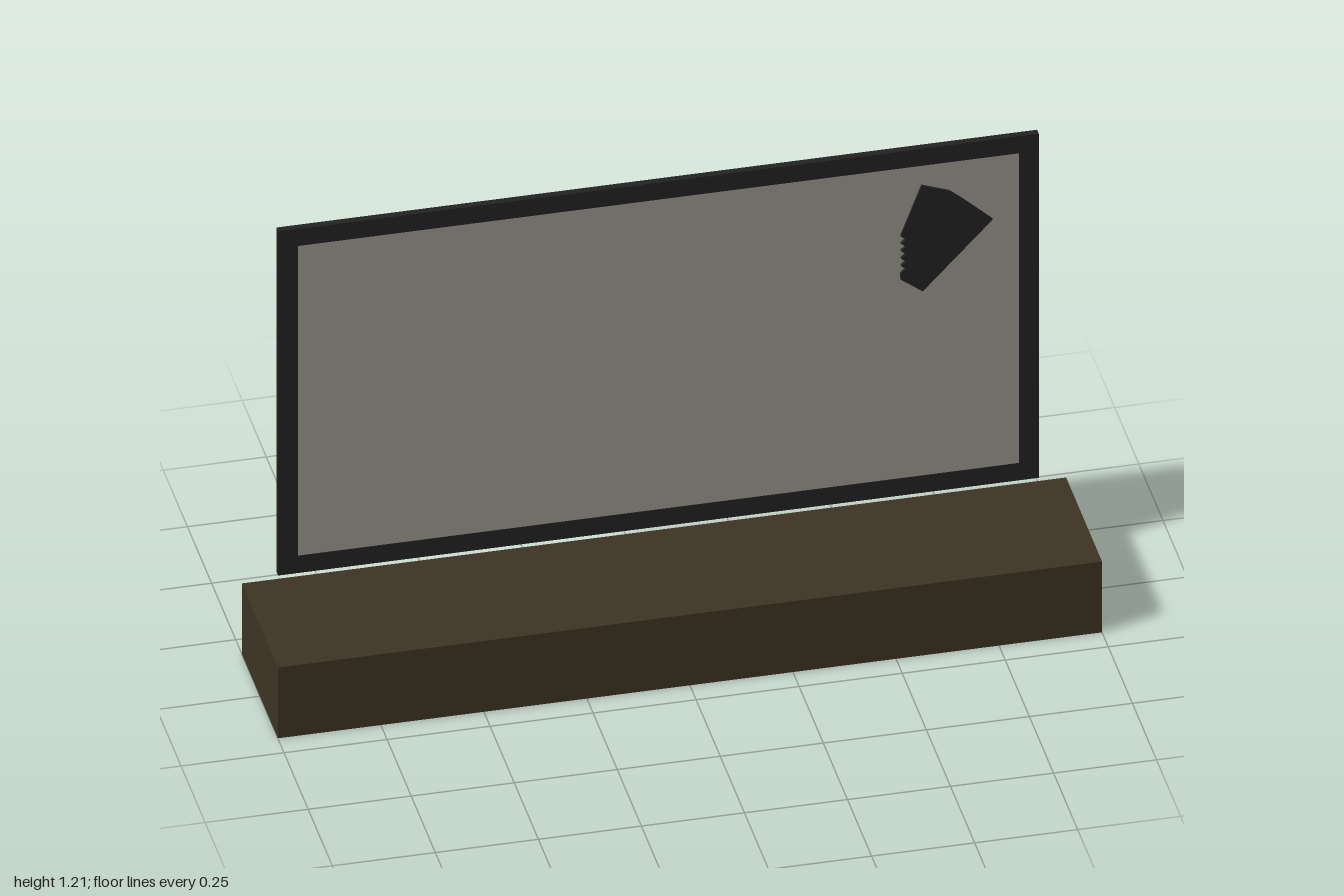
import * as THREE from 'three';

const mat = (name, color) => {
  const m = new THREE.MeshStandardMaterial({ color });
  m.name = name;
  return m;
};

export function createModel() {
  const group = new THREE.Group();
  const wood = mat('dark wood', 0x3d3423);
  const black = mat('black', 0x222222);
  const grey = mat('warm grey', 0x9b978f);

  const add = (name, geometry, material, x, y, z) => {
    const mesh = new THREE.Mesh(geometry, material);
    mesh.name = name;
    mesh.position.set(x, y, z);
    group.add(mesh);
  };

  // Long low base
  add('base', new THREE.BoxGeometry(2, 0.2, 0.372), wood, 0, 0.1, 0);

  // Rectangular frame with an open middle
  const rect = (path, x, y0, y1) => {
    path.moveTo(-x, y0);
    path.lineTo(x, y0);
    path.lineTo(x, y1);
    path.lineTo(-x, y1);
    path.closePath();
    return path;
  };
  const outline = rect(new THREE.Shape(), 0.923, 0.24, 1.212);
  outline.holes.push(rect(new THREE.Path(), 0.875, 0.288, 1.164));
  add('frame', new THREE.ExtrudeGeometry(outline, { depth: 0.018, bevelEnabled: false }),
    black, 0, 0, -0.158);

  // Panel held inside the frame, barely recessed on both faces
  add('panel', new THREE.BoxGeometry(1.75, 0.876, 0.014), grey, 0, 0.726, -0.149);

  // Fan-shaped plate with a serrated left edge
  const fan = new THREE.Shape();
  fan.moveTo(0.64, 0.812);
  fan.lineTo(0.81, 0.99);
  fan.lineTo(0.735, 1.06);
  fan.lineTo(0.705, 1.085);
  fan.lineTo(0.638, 1.11);
  fan.lineTo(0.587, 0.975);
  const teeth = 5;
  for (let i = 0; i < teeth; i++) {
    const y = 0.965 - i * 0.021;
    fan.lineTo(0.599, y);
    fan.lineTo(0.587, y - 0.01);
  }
  fan.lineTo(0.587, 0.853);
  fan.closePath();
  add('fanPlate', new THREE.ExtrudeGeometry(fan, { depth: 0.008, bevelEnabled: false }),
    black, 0, 0, -0.143);

  return group;
}
